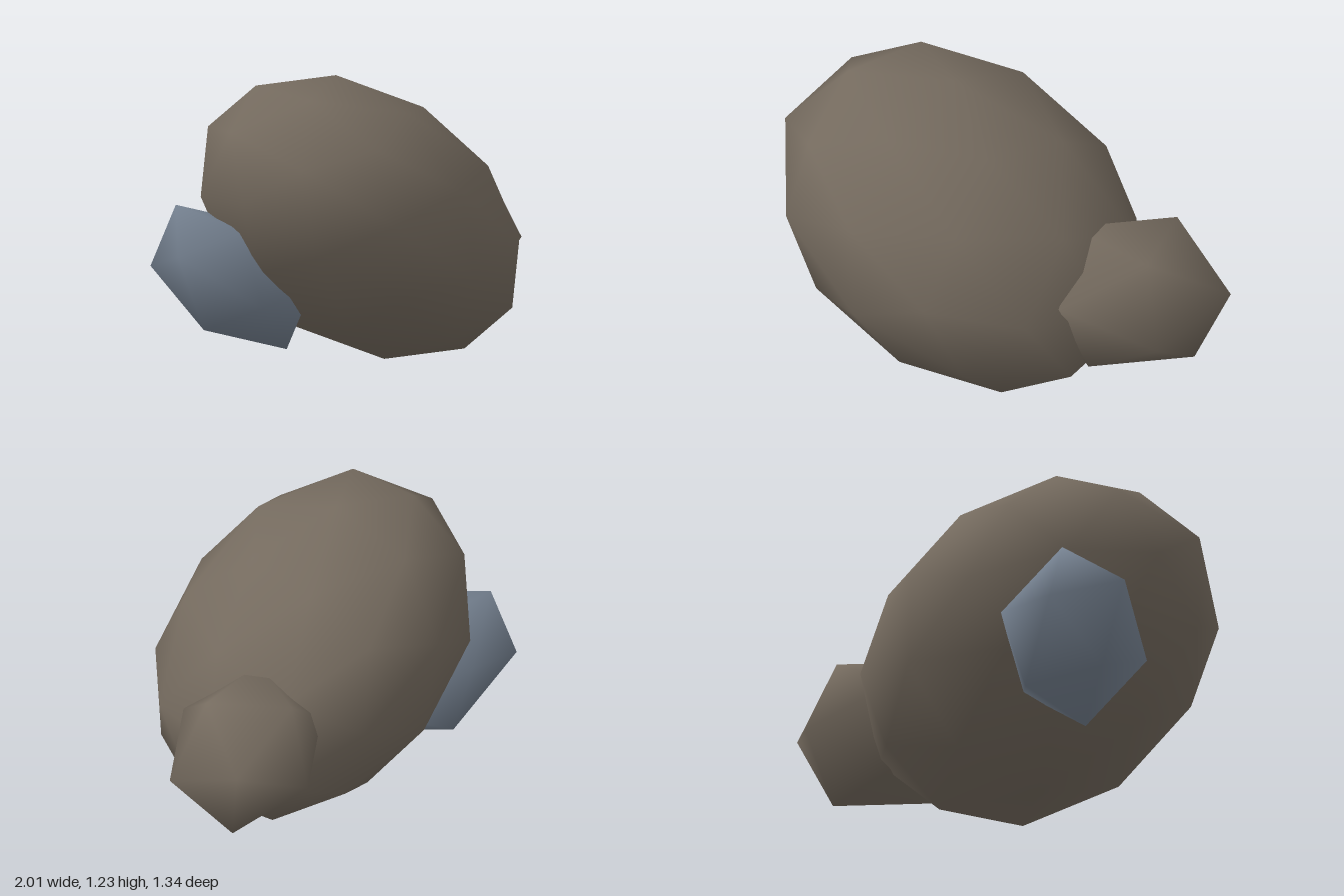
import * as THREE from 'three';

// Axes of the unit icosahedron: x, a second axis, and the direction of one corner
const PHI = (1 + Math.sqrt(5)) / 2;
const LEN = Math.hypot(1, PHI);
const SOURCE = new THREE.Matrix4().makeBasis(
  new THREE.Vector3(1, 0, 0),
  new THREE.Vector3(0, PHI, -1).divideScalar(LEN),
  new THREE.Vector3(0, 1, PHI).divideScalar(LEN)
);

// A smooth-shaded ball of triangles, stretched and turned along three given axes
function makeRock(name, material, detail, center, axes) {
  const geometry = new THREE.IcosahedronGeometry(1, detail);
  geometry.setAttribute('normal', geometry.attributes.position.clone());
  const stretch = new THREE.Matrix4()
    .makeBasis(...axes.map((a) => new THREE.Vector3(...a)))
    .multiply(SOURCE.clone().transpose());
  geometry.applyMatrix4(stretch);
  const mesh = new THREE.Mesh(geometry, material);
  mesh.name = name;
  mesh.position.set(...center);
  return mesh;
}

export function createModel() {
  const brown = new THREE.MeshStandardMaterial({ color: 0x746a5e });
  brown.name = 'brownStone';
  const blue = new THREE.MeshStandardMaterial({ color: 0x74808f });
  blue.name = 'blueStone';

  const group = new THREE.Group();
  group.name = 'rockCluster';

  // Large leaning boulder
  group.add(makeRock('largeBoulder', brown, 1, [-0.087, 0.615, -0.004], [
    [0.093, -0.615, 0.05], [0.002, -0.016, -0.688], [0.778, -0.175, -0.09],
  ]));
  // Small brown rock on the left side
  group.add(makeRock('smallBrownRock', brown, 0, [0.665, 0.457, -0.27], [
    [-0.1, -0.292, 0.106], [0.212, -0.111, -0.353], [0.306, -0.092, 0.16],
  ]));
  // Small blue rock on the right side
  group.add(makeRock('smallBlueRock', blue, 0, [-0.655, 0.41, -0.2], [
    [0.011, 0.299, -0.11], [0.277, -0.133, -0.166], [-0.218, 0.041, -0.263],
  ]));

  return group;
}
